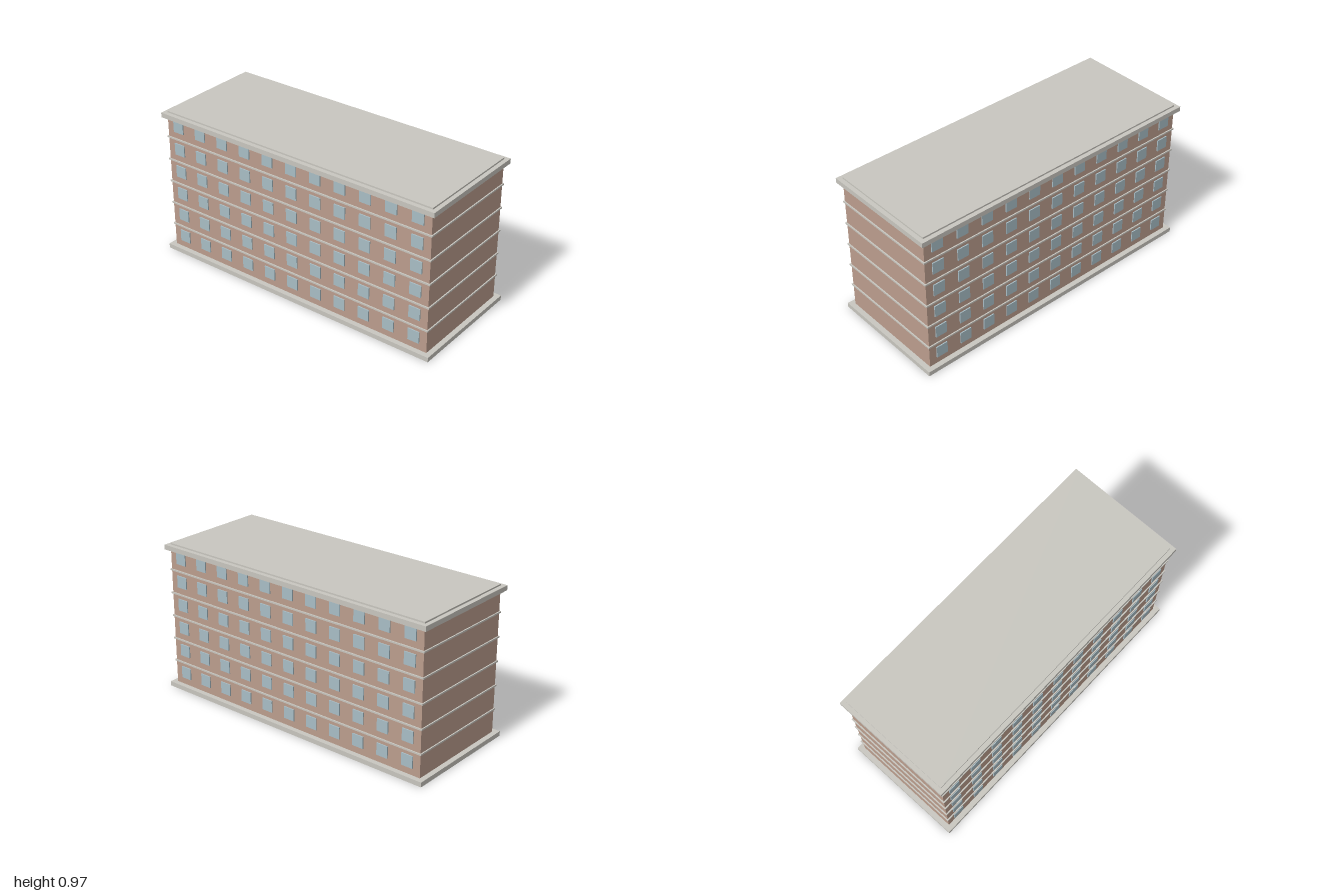
import * as THREE from 'three';

export function createModel() {
  const building = new THREE.Group();
  building.name = 'apartmentBlock';

  const material = (name, color) => {
    const m = new THREE.MeshStandardMaterial({ color });
    m.name = name;
    return m;
  };
  const brick = material('brick', 0xbb9d8d);
  const concrete = material('concrete', 0xc8c6bf);
  const glass = material('glass', 0xa8bdc5);

  // Horizontal slab centred on the plan, between two heights
  const slab = (name, mat, width, depth, bottom, top) => {
    const mesh = new THREE.Mesh(new THREE.BoxGeometry(width, top - bottom, depth), mat);
    mesh.name = name;
    mesh.position.y = (bottom + top) / 2;
    building.add(mesh);
  };

  const floors = 6, columns = 11;
  const floorHeight = 0.1545, columnStep = 0.1757;
  const wallWidth = 1.934, wallDepth = 0.724;

  slab('plinth', concrete, 2, 0.79, 0, 0.03);
  slab('walls', brick, wallWidth, wallDepth, 0.03, 0.932);
  slab('cornice', concrete, 1.988, 0.779, 0.931, 0.962);
  slab('roof', concrete, wallWidth, wallDepth, 0.962, 0.972);

  // String courses between floors
  for (let i = 1; i < floors; i++) {
    const y = 0.027 + i * floorHeight;
    slab('floorBand', concrete, wallWidth + 0.015, wallDepth + 0.015, y - 0.005, y + 0.005);
  }

  // Window grid on the front and back walls
  const pane = new THREE.BoxGeometry(0.077, 0.077, 0.009);
  for (const side of [1, -1]) {
    const windows = new THREE.Group();
    windows.name = side > 0 ? 'frontWindows' : 'backWindows';
    for (let row = 0; row < floors; row++) {
      for (let col = 0; col < columns; col++) {
        const mesh = new THREE.Mesh(pane, glass);
        mesh.name = 'window';
        mesh.position.set(
          (col - (columns - 1) / 2) * columnStep,
          0.1135 + row * floorHeight,
          side * (wallDepth / 2 + 0.0025)
        );
        windows.add(mesh);
      }
    }
    building.add(windows);
  }

  return building;
}
